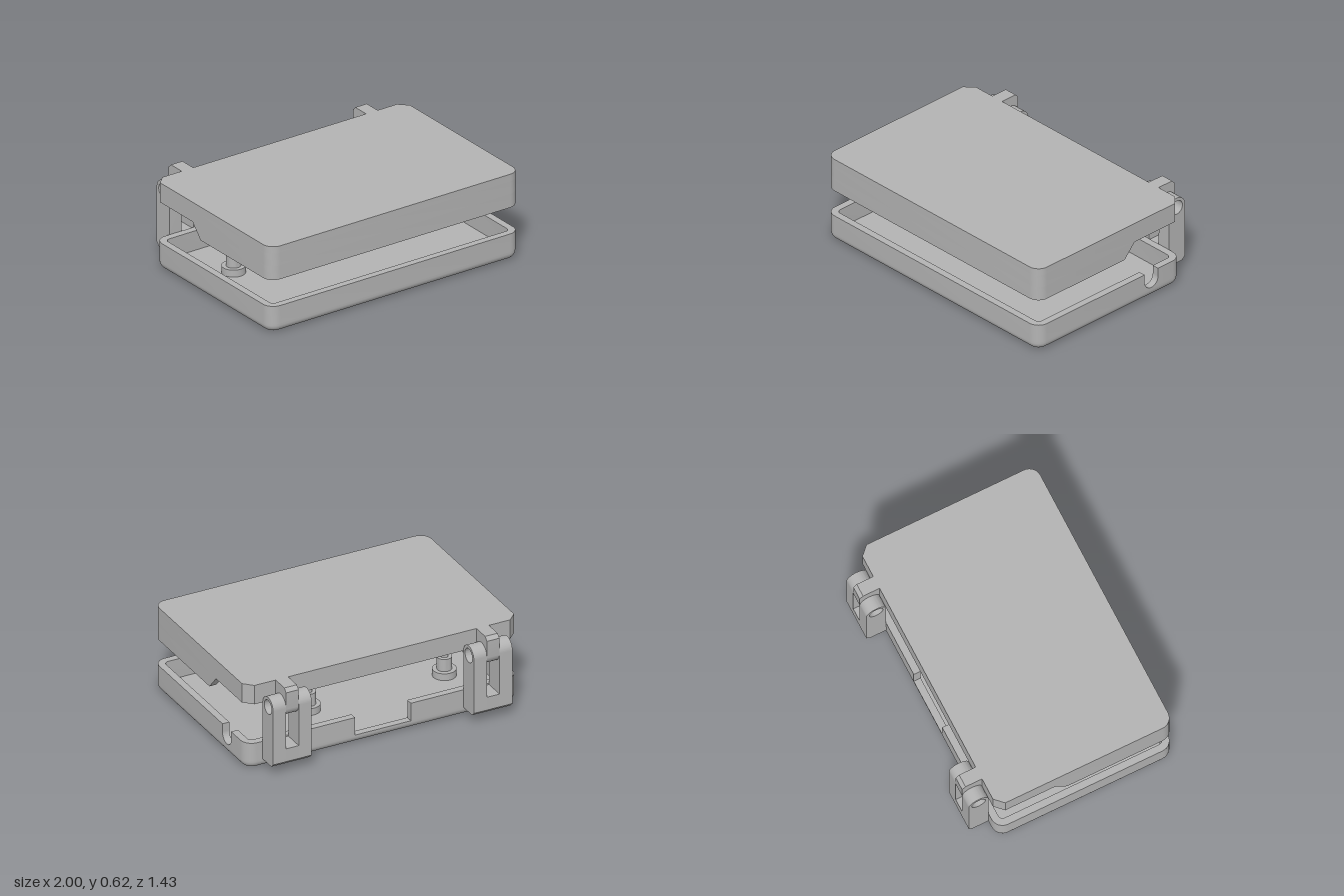
import * as THREE from 'three';
import { toCreasedNormals } from 'three/addons/utils/BufferGeometryUtils.js';

const FRONT = 0.715, BACK = -0.57, WALL = 0.05, R = 0.08;

// Closed plan outline from corners [x, z, radius]
function contour(corners) {
  const out = [], n = corners.length;
  corners.forEach(([x, z, r], i) => {
    const p = new THREE.Vector2(x, z);
    if (!r) return out.push(p);
    const [ax, az] = corners[(i + n - 1) % n], [bx, bz] = corners[(i + 1) % n];
    const din = p.clone().sub(new THREE.Vector2(ax, az)).normalize();
    const dout = new THREE.Vector2(bx, bz).sub(p).normalize();
    const c = p.clone().addScaledVector(din, -r).addScaledVector(dout, r);
    for (let k = 0; k <= 8; k++) {
      const t = k / 8 * Math.PI / 2;
      out.push(c.clone().addScaledVector(dout, -r * Math.cos(t)).addScaledVector(din, r * Math.sin(t)));
    }
  });
  return out;
}

// Rounded plan of the tray, shrunk by an inset
const trayPlan = (i) => contour([
  [1 - i, FRONT - i, R - i], [1 - i, BACK + i, R - i],
  [-1 + i, BACK + i, R - i], [-1 + i, FRONT - i, R - i],
]);

// Plan of the lid: rounded at the front, cut corners at the back
const lidPlan = (i, cut) => contour([
  [1 - i, FRONT - i, R - i], [1 - i, BACK + i + cut, 0], [1 - i - cut, BACK + i, 0],
  [-1 + i + cut, BACK + i, 0], [-1 + i, BACK + i + cut, 0], [-1 + i, FRONT - i, R - i],
]);

// Extrude a plan (x, z) upward between two heights
function slab(points, y0, y1, hole) {
  const flip = (list) => list.map((p) => new THREE.Vector2(p.x, -p.y));
  const shape = new THREE.Shape(flip(points));
  if (hole) shape.holes.push(new THREE.Path(flip(hole)));
  return new THREE.ExtrudeGeometry(shape, { depth: y1 - y0, bevelEnabled: false })
    .rotateX(-Math.PI / 2).translate(0, y0, 0);
}

// Extrude a side profile (-z, y) across x
const across = (shape, x0, x1) =>
  new THREE.ExtrudeGeometry(shape, { depth: x1 - x0, bevelEnabled: false, curveSegments: 24 })
    .rotateY(Math.PI / 2).translate(x0, 0, 0);

const profile = (pts) => new THREE.Shape(pts.map(([a, b]) => new THREE.Vector2(a, b)));

// Skin through plan outlines given as [inset, y]
function loft(rings) {
  const pos = [], idx = [];
  let n = 0;
  rings.forEach(([inset, y]) => {
    const pts = trayPlan(inset);
    n = pts.length;
    pts.forEach((p) => pos.push(p.x, y, p.y));
  });
  for (let k = 0; k < rings.length - 1; k++) {
    for (let i = 0; i < n; i++) {
      const a = k * n + i, b = k * n + (i + 1) % n;
      idx.push(a, b, a + n, b, b + n, a + n);
    }
  }
  const g = new THREE.BufferGeometry();
  g.setAttribute('position', new THREE.Float32BufferAttribute(pos, 3));
  g.setIndex(idx);
  return g;
}

export function createModel() {
  const grey = new THREE.MeshStandardMaterial({ color: 0xb3b3b3 });
  grey.name = 'grey plastic';
  const model = new THREE.Group();
  model.name = 'hingedCase';
  const group = (name) => {
    const g = new THREE.Group();
    g.name = name;
    model.add(g);
    return g;
  };
  const add = (parent, name, geometry) => {
    const flat = geometry.index ? geometry.toNonIndexed() : geometry;
    const mesh = new THREE.Mesh(toCreasedNormals(flat, 0.6), grey);
    mesh.name = name;
    parent.add(mesh);
    return mesh;
  };

  // Tray: filleted shell, floor and underside pierced for the two screws
  const tray = group('tray');
  const screws = [[0.3, -0.11], [-0.7, -0.11]];
  const rings = [];
  for (let k = 0; k <= 8; k++) {
    const a = k / 8 * Math.PI / 2;
    rings.push([0.05 * (1 - Math.sin(a)), 0.05 * (1 - Math.cos(a))]);
  }
  rings.push([0, 0.06], [WALL, 0.06], [WALL, 0.05]);
  add(tray, 'trayShell', loft(rings));
  for (const [name, side, y] of [['underside', 1, 0], ['floor', -1, 0.05]]) {
    const shape = new THREE.Shape(trayPlan(WALL).map((p) => new THREE.Vector2(p.x, side * p.y)));
    for (const [x, z] of screws) {
      shape.holes.push(new THREE.Path().absarc(x, side * z, 0.07, 0, Math.PI * 2));
    }
    add(tray, name, new THREE.ShapeGeometry(shape, 24).rotateX(side * Math.PI / 2).translate(0, y, 0));
  }

  // Tray walls, open at the back and at the cable notch
  const r = R - WALL, xi = 1 - WALL, zb = BACK + WALL, zf = FRONT - WALL;
  add(tray, 'shortWall', slab(contour([
    [1, -0.36, 0], [1, BACK, R], [0.2, BACK, 0], [0.2, zb, 0], [xi, zb, r], [xi, -0.36, 0],
  ]), 0.06, 0.19));
  add(tray, 'longWall', slab(contour([
    [-0.21, BACK, 0], [-1, BACK, R], [-1, FRONT, R], [1, FRONT, R], [1, -0.24, 0],
    [xi, -0.24, 0], [xi, zf, r], [-xi, zf, r], [-xi, zb, r], [-0.21, zb, 0],
  ]), 0.06, 0.19));
  const notch = profile([[0.24, 0.06], [0.36, 0.06], [0.36, 0.13]]);
  notch.absarc(0.3, 0.13, 0.06, 0, Math.PI, true);
  add(tray, 'cableNotch', across(notch, xi, 1));

  // Screw posts with a recess below
  const post = [[0.08, 0.05], [0.08, 0.1], [0.05, 0.1], [0.05, 0.19], [0.025, 0.19],
    [0.025, 0.06], [0.07, 0.06], [0.07, 0]].map(([a, b]) => new THREE.Vector2(a, b));
  for (const [x, z] of screws) {
    add(tray, 'screwPost', new THREE.LatheGeometry(post, 32)).position.set(x, 0, z);
  }

  // Lid: top plate, full rim, and a deeper skirt at the front
  const lid = group('lid');
  add(lid, 'lidTop', slab(lidPlan(0, 0.06), 0.57, 0.62));
  add(lid, 'lidRim', slab(lidPlan(0, 0.06), 0.48, 0.57, lidPlan(WALL, 0.04)));
  add(lid, 'lidSkirt', slab(contour([
    [1, -0.06, 0], [1, FRONT, R], [-1, FRONT, R], [-1, -0.06, 0],
    [-xi, -0.06, 0], [-xi, zf, r], [xi, zf, r], [xi, -0.06, 0],
  ]), 0.38, 0.48));
  for (const x of [-1, xi]) {
    add(lid, 'skirtSlope', across(profile([[0.06, 0.38], [0.15, 0.48], [0.06, 0.48]]), x, x + WALL));
  }

  // Hinges: two cheeks and a cross bar on the tray, a tongue on the lid
  const pin = () => new THREE.Path().absarc(0.643, 0.48, 0.05, 0, Math.PI * 2);
  const cheek = profile([[0.57, 0.06], [0.69, 0.06], [0.715, 0.085], [0.715, 0.48]]);
  cheek.absarc(0.643, 0.48, 0.072, 0, Math.PI);
  cheek.holes.push(pin());
  const bar = profile([[0.57, 0.06], [0.69, 0.06], [0.715, 0.085], [0.715, 0.18], [0.57, 0.18]]);
  const tongue = profile([[0.55, 0.48], [0.55, 0.62], [0.69, 0.62], [0.715, 0.595], [0.715, 0.48]]);
  tongue.absarc(0.643, 0.48, 0.072, 0, Math.PI, true);
  tongue.holes.push(pin());
  for (const [name, cx] of [['leftHinge', 0.738], ['rightHinge', -0.738]]) {
    const hinge = group(name);
    add(hinge, 'outerCheek', across(cheek, cx - 0.142, cx - 0.047));
    add(hinge, 'innerCheek', across(cheek, cx + 0.047, cx + 0.142));
    add(hinge, 'crossBar', across(bar, cx - 0.047, cx + 0.047));
    add(hinge, 'lidTongue', across(tongue, cx - 0.046, cx + 0.046));
  }
  return model;
}
